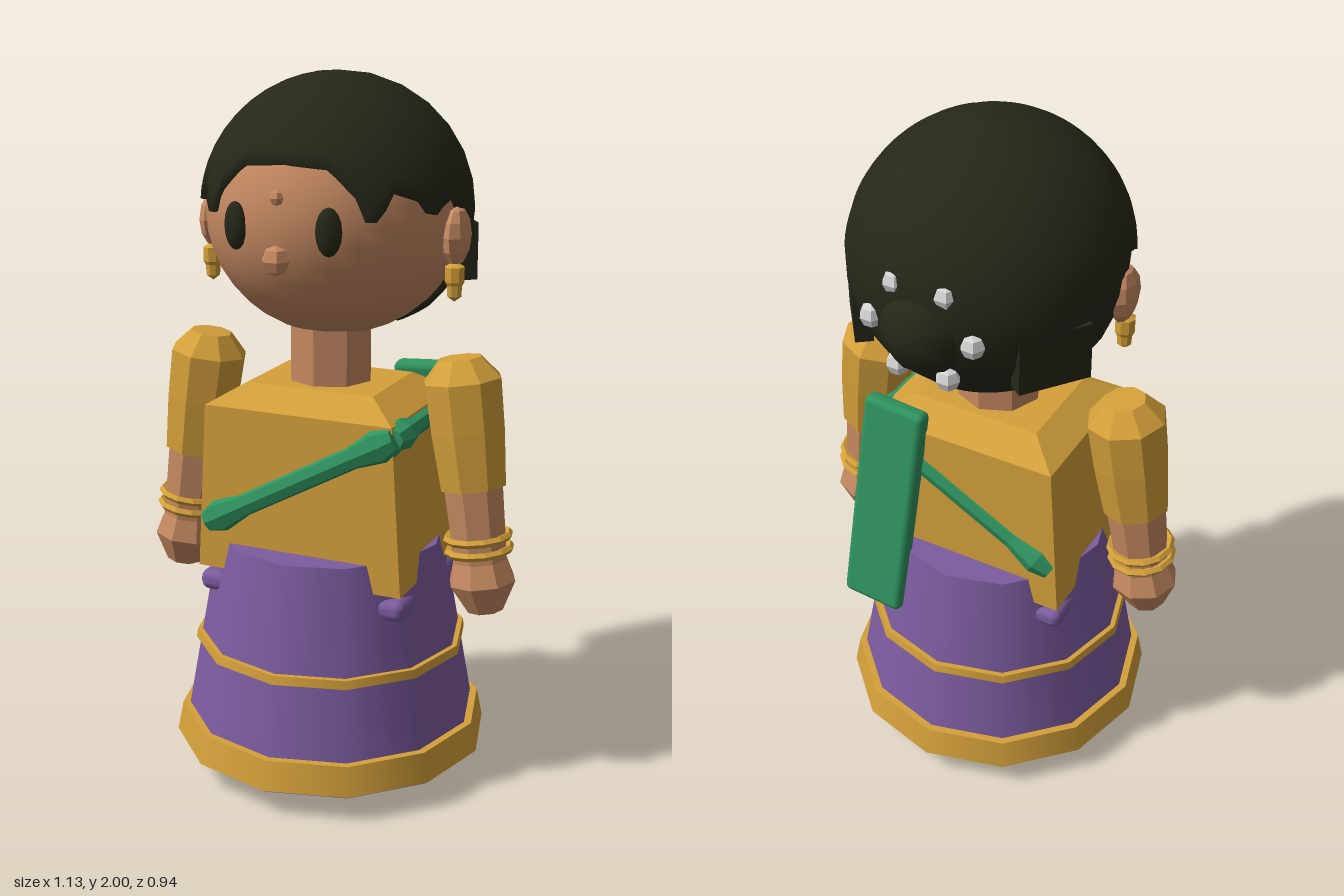
import * as THREE from 'three';
import { RoundedBoxGeometry } from 'three/addons/geometries/RoundedBoxGeometry.js';

const mat = (name, color) => {
  const m = new THREE.MeshStandardMaterial({ color });
  m.name = name;
  return m;
};

export function createModel() {
  const gold = mat('gold', 0xd4a03a), purple = mat('purple', 0x7c5ca0), green = mat('green', 0x2f9460);
  const skin = mat('skin', 0xc68a62), dark = mat('dark hair', 0x262719), white = mat('white', 0xd4d4d4);
  const model = new THREE.Group();
  const V = (x, y, z) => new THREE.Vector3(x, y, z);

  const add = (name, geometry, material, x = 0, y = 0, z = 0, parent = model) => {
    const mesh = new THREE.Mesh(geometry, material);
    mesh.name = name;
    mesh.position.set(x, y, z);
    parent.add(mesh);
    return mesh;
  };
  // faceted normals
  const flat = (g) => {
    const n = g.index ? g.toNonIndexed() : g;
    n.computeVertexNormals();
    return n;
  };
  // faceted turned shape, profile listed from low to high
  const turned = (points, sides) =>
    flat(new THREE.LatheGeometry(points.map(([r, y]) => new THREE.Vector2(r, y)), sides));
  const ball = (r, w = 6, h = 4) => flat(new THREE.SphereGeometry(r, w, h));
  const ring = (name, rTop, rBottom, y0, y1, material) =>
    add(name, new THREE.CylinderGeometry(rTop, rBottom, y1 - y0, 12), material, 0, (y0 + y1) / 2, 0.015);

  // skirt with gold bands
  ring('skirt', 0.325, 0.43, 0.12, 0.7, purple);
  ring('hem', 0.443, 0.46, 0.08, 0.165, gold);
  ring('skirtLining', 0.45, 0.452, 0.074, 0.082, purple);
  ring('skirtStripe', 0.394, 0.398, 0.375, 0.4, gold);
  add('waistTuck', new RoundedBoxGeometry(0.63, 0.06, 0.46, 2, 0.025), purple, 0, 0.57, 0.015);

  // torso: box with a narrowing shoulder section
  const torso = new THREE.BoxGeometry(1, 1, 1, 1, 2, 1);
  const sections = [[0.62, 0.62, 0.46], [1.1, 0.56, 0.46], [1.155, 0.38, 0.29]];
  const tp = torso.attributes.position;
  for (let i = 0; i < tp.count; i++) {
    const [y, w, d] = sections[Math.round((tp.getY(i) + 0.5) * 2)];
    tp.setXYZ(i, tp.getX(i) * w, y, tp.getZ(i) * d);
  }
  add('torso', flat(torso), gold, 0, 0, 0.018);
  add('neck', flat(new THREE.CylinderGeometry(0.12, 0.12, 0.24, 8)), skin, 0, 1.22, 0.015);

  // head
  const C = V(0, 1.63, -0.03);
  add('head', new THREE.SphereGeometry(1, 32, 20), skin, C.x, C.y, C.z).scale.set(0.36, 0.35, 0.38);

  // hair cap: hairline height by angle from the front, in degrees
  const line = [[0, 1.79], [21, 1.78], [32, 1.71], [37, 1.63], [43, 1.66], [47, 1.72], [60, 1.69],
    [66, 1.64], [72, 1.67], [80, 1.69], [88, 1.62], [95, 1.5], [102, 1.37], [122, 1.3], [180, 1.29]];
  const hairline = (a) => {
    const k = Math.max(1, line.findIndex(([d]) => d >= a));
    const [a0, y0] = line[k - 1], [a1, y1] = line[k];
    return y0 + ((y1 - y0) * (a - a0)) / (a1 - a0);
  };
  const cols = 90, rows = 12, pos = [], idx = [];
  for (let i = 0; i < cols; i++) {
    const deg = (i * 360) / cols, a = THREE.MathUtils.degToRad(deg);
    const low = Math.asin((hairline(deg > 180 ? 360 - deg : deg) - C.y) / 0.37);
    for (let j = 0; j <= rows; j++) {
      // last row folds into the head as a rim
      const e = Math.PI / 2 + (low - Math.PI / 2) * Math.min(1, j / (rows - 1));
      const k = j === rows ? 0.93 : 1;
      pos.push(0.376 * k * Math.sin(a) * Math.cos(e), 0.37 * k * Math.sin(e), 0.392 * k * Math.cos(a) * Math.cos(e));
      if (j < rows) {
        const p = i * (rows + 1) + j, q = ((i + 1) % cols) * (rows + 1) + j;
        idx.push(p, p + 1, q, q, p + 1, q + 1);
      }
    }
  }
  const hair = new THREE.BufferGeometry();
  hair.setAttribute('position', new THREE.Float32BufferAttribute(pos, 3));
  hair.setIndex(idx);
  hair.computeVertexNormals();
  add('hair', hair, dark, C.x, C.y, C.z);

  // bun ringed with flowers
  add('bun', new THREE.SphereGeometry(0.125, 10, 8), dark, 0, 1.58, -0.35);
  for (let i = 0; i < 6; i++) {
    const a = (i * Math.PI) / 3;
    add('flower', ball(0.034, 6, 4), white, 0.145 * Math.cos(a), 1.583 + 0.14 * Math.sin(a), -0.385);
  }

  // face
  add('nose', ball(0.04), skin, 0, 1.545, 0.36);
  add('foreheadDot', ball(0.02), skin, 0, 1.705, 0.352);

  for (const s of [-1, 1]) {
    const eye = add('eye', new THREE.SphereGeometry(1, 12, 8), dark, s * 0.133, 1.622, 0.325);
    eye.scale.set(0.035, 0.064, 0.022);
    eye.rotation.y = s * 0.3;
    add('ear', ball(1, 8, 6), skin, s * 0.365, 1.58, 0.01).scale.set(0.036, 0.08, 0.065);
    add('earring', turned([[0, 1.405], [0.02, 1.42], [0.022, 1.45], [0.028, 1.46], [0.028, 1.5], [0, 1.515]], 8),
      gold, s * 0.366, 0, 0.025);
    add('hairBlock', new THREE.BoxGeometry(0.05, 0.16, 0.2), dark, s * 0.283, 1.51, -0.232).rotation.set(0, s * 0.65, 0);

    // arm, built downward from the shoulder
    const arm = new THREE.Group();
    arm.name = s > 0 ? 'leftArm' : 'rightArm';
    arm.position.set(s * 0.383, 1.25, 0.012);
    arm.quaternion.setFromUnitVectors(V(0, -1, 0), V(s * 0.1, -0.715, 0.023).normalize());
    model.add(arm);
    add('sleeve', turned([[0, -0.36], [0.096, -0.36], [0.108, -0.2], [0.112, -0.06], [0.06, 0], [0, 0]], 8), gold, 0, 0, 0, arm);
    add('forearm', turned([[0, -0.58], [0.078, -0.58], [0.088, -0.34], [0, -0.34]], 8), skin, 0, 0, 0, arm);
    add('hand', turned([[0, -0.72], [0.052, -0.72], [0.097, -0.635], [0.075, -0.56], [0, -0.56]], 8), skin, 0, 0, 0, arm);
    for (const y of [-0.505, -0.542]) {
      add('bracelet', flat(new THREE.TorusGeometry(0.087, 0.012, 5, 12)), gold, 0, y, 0, arm).rotation.x = Math.PI / 2;
    }

    // shoe
    add('shoe', turned([[0, 0], [0.07, 0], [0.122, 0.065], [0.1, 0.09], [0, 0.09]], 8), gold, s * 0.163, 0, 0.07).scale.z = 1.6;
  }

  // sash: knobbed bars across the front, the back and over the shoulder
  const sashBar = (name, a, b) => {
    const d = b.clone().sub(a), h = d.length() / 2;
    const g = turned([[0, -h - 0.02], [0.035, -h - 0.02], [0.052, -h + 0.03], [0.036, -h + 0.12],
      [0.036, h - 0.12], [0.052, h - 0.03], [0.035, h + 0.02], [0, h + 0.02]], 8);
    const bar = add(name, g, green, (a.x + b.x) / 2, (a.y + b.y) / 2, (a.z + b.z) / 2);
    bar.quaternion.setFromUnitVectors(V(0, 1, 0), d.normalize());
    bar.scale.z = 0.85;
  };
  sashBar('sashFront', V(-0.265, 0.765, 0.238), V(0.27, 1.06, 0.238));
  sashBar('sashBack', V(-0.265, 0.765, -0.195), V(0.27, 1.06, -0.195));
  sashBar('sashShoulder', V(0.275, 1.065, 0.22), V(0.275, 1.065, -0.18));

  // loose end of the sash hanging at the back, with a bead
  add('sashDrape', new RoundedBoxGeometry(0.19, 0.68, 0.055, 2, 0.02), green, 0.222, 0.835, -0.257).rotation.set(0.145, 0, 0.07);
  add('drapeBead', ball(0.034, 8, 6), gold, 0.27, 0.52, -0.258);

  return model;
}
